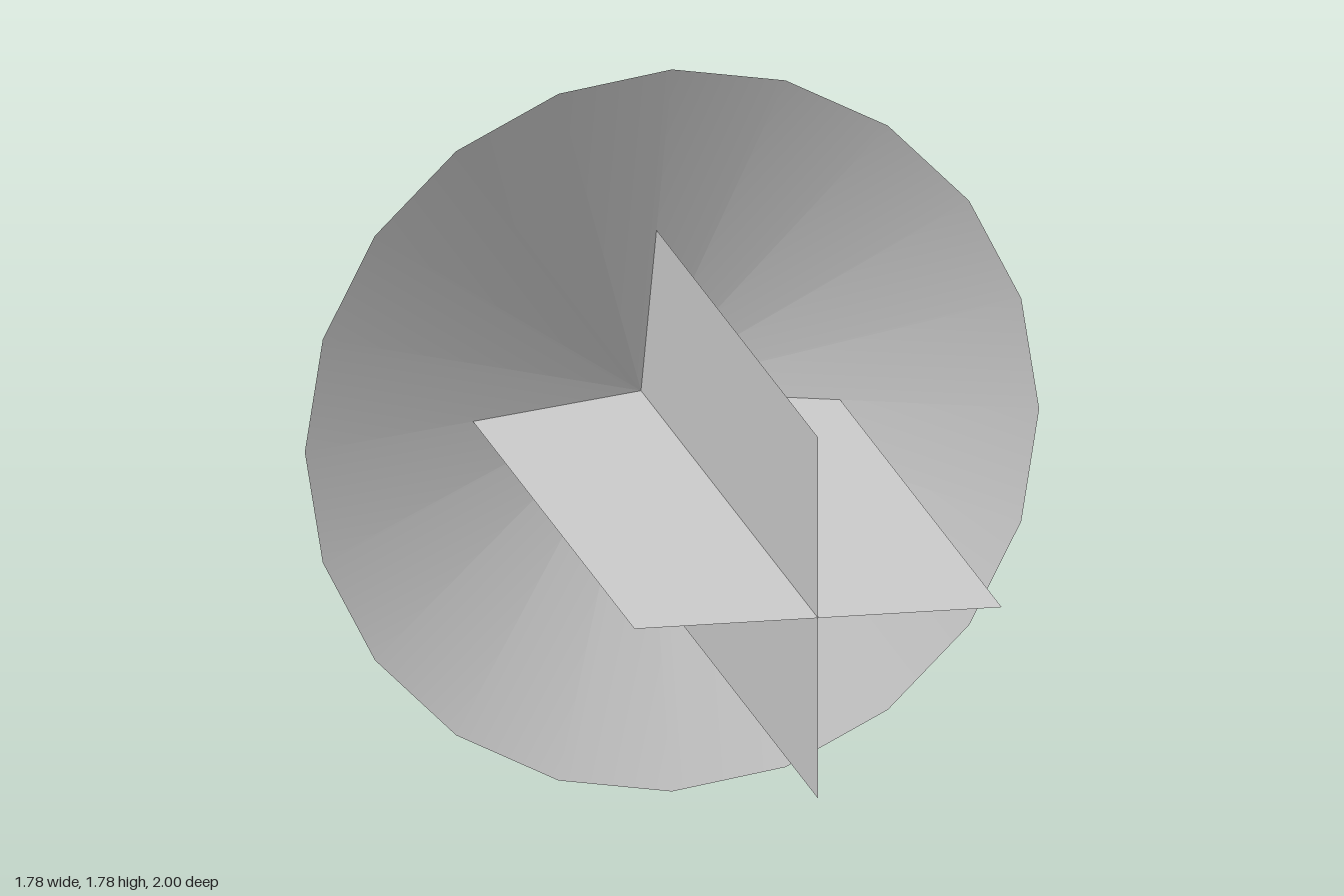
import * as THREE from 'three';

const RADIUS = 0.89;       // cone rim radius, also the height of the axis
const CONE_DEPTH = 0.35;
const LENGTH = 2;

export function createModel() {
  const group = new THREE.Group();
  const material = new THREE.MeshStandardMaterial({ color: 0xcccccc, side: THREE.DoubleSide });

  // Shallow open cone, apex at the back and hollow side facing the front
  const coneGeometry = new THREE.ConeGeometry(RADIUS, CONE_DEPTH, 20, 1, true);
  coneGeometry.rotateX(-Math.PI / 2);
  const cone = new THREE.Mesh(coneGeometry, material);
  cone.name = 'cone';
  cone.position.set(0, RADIUS, -LENGTH / 2 + CONE_DEPTH / 2);
  group.add(cone);

  // Two thin sheets crossing along the axis
  const sheetGeometry = new THREE.PlaneGeometry(RADIUS, LENGTH);
  sheetGeometry.rotateX(-Math.PI / 2);
  [['horizontalFin', 0], ['verticalFin', Math.PI / 2]].forEach(([name, roll]) => {
    const fin = new THREE.Mesh(sheetGeometry, material);
    fin.name = name;
    fin.position.y = RADIUS;
    fin.rotation.z = roll;
    group.add(fin);
  });

  return group;
}
